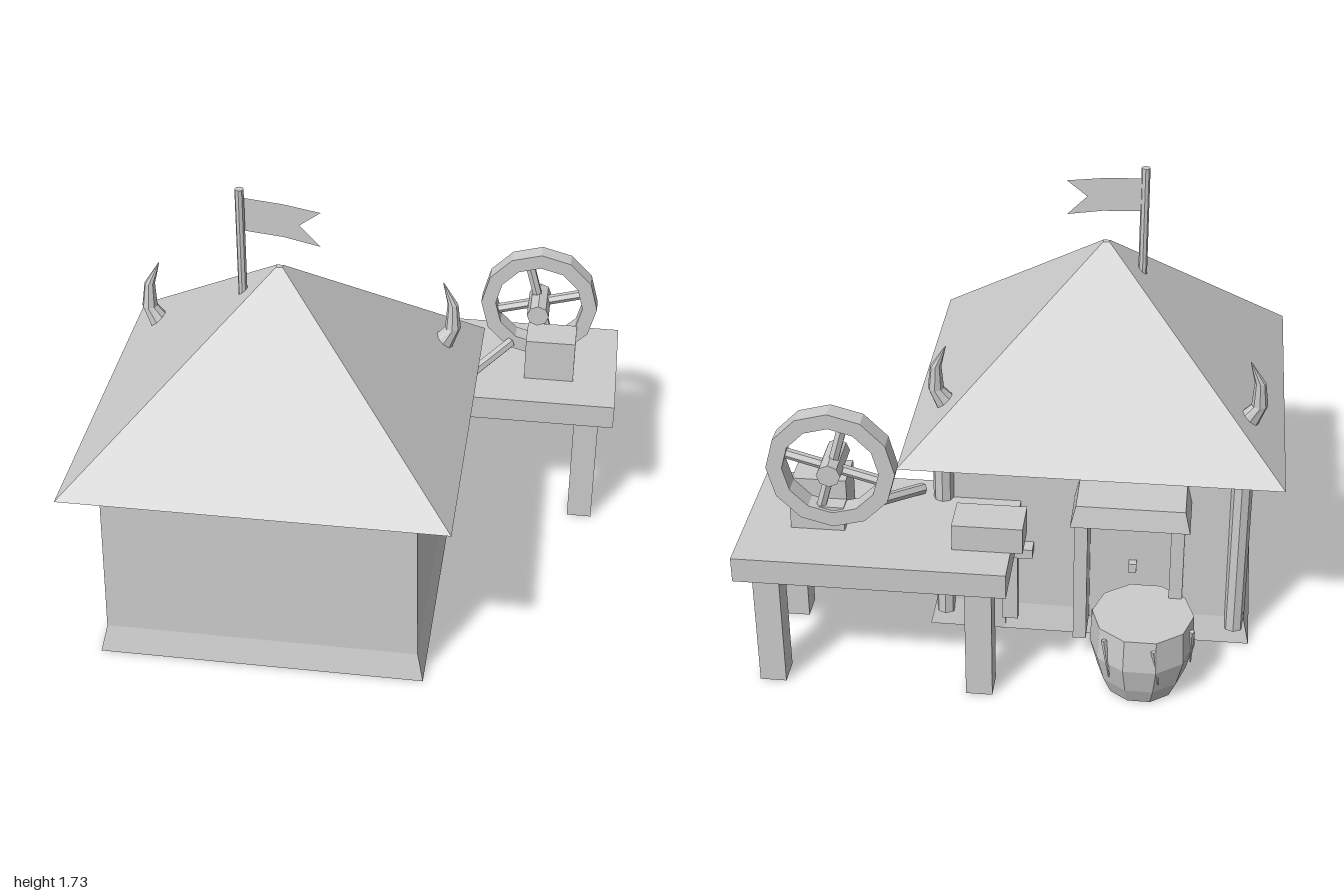
import * as THREE from 'three';

export function createModel() {
  const model = new THREE.Group();
  model.name = 'hutWithWorkbench';
  const grey = new THREE.MeshStandardMaterial({ color: 0xcccccc, flatShading: true, side: THREE.DoubleSide });
  grey.name = 'plain grey';

  const add = (name, geometry, parent = model) => {
    geometry.computeVertexNormals();
    const mesh = new THREE.Mesh(geometry, grey);
    mesh.name = name;
    parent.add(mesh);
  };
  const group = (name) => {
    const g = new THREE.Group();
    g.name = name;
    model.add(g);
    return g;
  };
  // Block between two rectangles [x0, x1, z0, z1], one at y0 and one at y1
  const taper = (y0, r0, y1, r1 = r0) => {
    const g = new THREE.BoxGeometry(1, 1, 1);
    const p = g.attributes.position;
    for (let i = 0; i < p.count; i++) {
      const up = p.getY(i) > 0, r = up ? r1 : r0;
      p.setXYZ(i, p.getX(i) < 0 ? r[0] : r[1], up ? y1 : y0, p.getZ(i) < 0 ? r[2] : r[3]);
    }
    return g;
  };
  // Same block without its bottom face
  const openBelow = (g) => {
    const faces = [...g.index.array];
    faces.splice(18, 6);
    g.setIndex(faces);
    g.clearGroups();
    return g;
  };
  // Straight rod between two points
  const rod = (a, b, radius, sides = 6, endRadius = radius) => {
    const from = new THREE.Vector3(...a), to = new THREE.Vector3(...b);
    const d = to.clone().sub(from);
    const g = new THREE.CylinderGeometry(endRadius, radius, d.length(), sides);
    g.applyQuaternion(new THREE.Quaternion().setFromUnitVectors(new THREE.Vector3(0, 1, 0), d.normalize()));
    const m = from.add(to).multiplyScalar(0.5);
    return g.translate(m.x, m.y, m.z);
  };

  // Hut body
  const foot = [-0.905, 0.348, -0.42, 0.8], waist = [-0.88, 0.324, -0.40, 0.775];
  add('wallSkirt', openBelow(taper(0, foot, 0.11, waist)));
  add('walls', taper(0.11, waist, 0.78, [-0.866, 0.31, -0.39, 0.765]));
  add('roof', taper(0.775, [-1, 0.445, -0.52, 0.885], 1.42, [-0.29, -0.265, 0.18, 0.2]));
  for (const x of [-0.843, 0.287]) add('cornerPost', rod([x, 0.06, -0.39], [x, 0.78, -0.39], 0.04, 8));

  // Curved horns on the roof
  const out = [0.568, 0.615, 0.612, 0.572], high = [0.88, 0.96, 1.06, 1.15], swell = [1, 1.1, 1.4, 1];
  for (const side of [-1, 1]) {
    const g = new THREE.CylinderGeometry(0.002, 0.042, 1, 8, 3);
    const p = g.attributes.position;
    for (let i = 0; i < p.count; i++) {
      const k = Math.round((p.getY(i) + 0.5) * 3);
      const lean = k === 0 ? p.getX(i) * side * 0.5 : 0;
      p.setXYZ(i, -0.278 + side * out[k] + p.getX(i) * swell[k], high[k] - lean,
        -0.205 - 0.008 * k + p.getZ(i) * swell[k]);
    }
    add('horn', g);
  }

  // Flag with a swallow tail
  const flag = group('flag');
  add('flagPole', rod([-0.42, 1.2, 0.19], [-0.42, 1.73, 0.19], 0.017, 8), flag);
  const cloth = new THREE.PlaneGeometry(1, 1, 2, 2);
  const columns = [
    [[-0.41, 1.69], [-0.41, 1.62], [-0.41, 1.555]],
    [[-0.26, 1.68], [-0.26, 1.61], [-0.26, 1.545]],
    [[-0.12, 1.66], [-0.2, 1.6], [-0.122, 1.52]],
  ];
  for (let i = 0; i < 9; i++) {
    const [x, y] = columns[i % 3][Math.floor(i / 3)];
    cloth.attributes.position.setXYZ(i, x, y, 0.21 + 0.07 * x);
  }
  add('flagCloth', cloth, flag);

  // Doorway at the back
  const doorway = group('doorway');
  add('door', taper(0.09, [-0.6, -0.27, -0.43, -0.38], 0.63), doorway);
  for (const x of [-0.64, -0.28]) add('doorJamb', taper(0.1, [x, x + 0.05, -0.585, -0.38], 0.63), doorway);
  add('lintel', taper(0.62, [-0.66, -0.215, -0.605, -0.38], 0.705, [-0.64, -0.235, -0.59, -0.38]), doorway);
  add('doorKnob', taper(0.33, [-0.46, -0.43, -0.46, -0.42], 0.37), doorway);

  // Blade leaning on the back wall
  const blade = group('leaningBlade');
  add('bladeBody', taper(0.06, [0, 0.06, -0.435, -0.39], 0.4), blade);
  add('bladeGuard', taper(0.365, [-0.06, 0.13, -0.46, -0.4], 0.405), blade);
  add('bladeGrip', taper(0.4, [0.01, 0.05, -0.445, -0.4], 0.53), blade);

  // Workbench
  const bench = group('workbench');
  add('benchTop', openBelow(taper(0.485, [-0.01, 1, -0.89, -0.285], 0.585)), bench);
  for (const x of [0.05, 0.84])
    for (const z of [-0.84, -0.42]) add('benchLeg', taper(0, [x, x + 0.1, z, z + 0.105], 0.49), bench);
  add('benchBlock', taper(0.585, [-0.055, 0.207, -0.745, -0.59], 0.69), bench);

  // Grinding wheel with its stand and lever
  const wheel = group('grindingWheel');
  add('wheelStand', taper(0.585, [0.62, 0.823, -0.605, -0.457], 0.765), wheel);
  add('wheelStep', taper(0.585, [0.62, 0.823, -0.665, -0.605], 0.685), wheel);
  const ring = (r) => Array.from({ length: 12 }, (_, i) =>
    new THREE.Vector2(r * Math.cos(i * Math.PI / 6), r * Math.sin(i * Math.PI / 6)));
  const rim = new THREE.Shape(ring(0.24));
  rim.holes.push(new THREE.Path(ring(0.18)));
  add('wheelRim', new THREE.ExtrudeGeometry(rim, { depth: 0.075, bevelEnabled: false })
    .translate(0.66, 0.85, -0.678), wheel);
  add('wheelHub', rod([0.66, 0.85, -0.712], [0.66, 0.85, -0.522], 0.045, 8), wheel);
  for (let i = 0; i < 4; i++) {
    const a = 0.27 + i * Math.PI / 2;
    add('wheelSpoke', rod([0.66, 0.85, -0.642],
      [0.66 + 0.19 * Math.cos(a), 0.85 + 0.19 * Math.sin(a), -0.642], 0.02), wheel);
  }
  add('wheelLever', rod([0.37, 0.605, -0.375], [0.55, 0.665, -0.6], 0.022), wheel);

  // Barrel, open below, with slanted slivers on its staves
  const barrel = group('barrel');
  barrel.position.set(-0.5, 0, -0.69);
  const profile = [[0.135, 0], [0.167, 0.07], [0.197, 0.18], [0.19, 0.313], [0, 0.313]];
  add('barrelBody', new THREE.LatheGeometry(profile.map(([x, y]) => new THREE.Vector2(x, y)), 10)
    .rotateY(Math.PI / 10), barrel);
  for (let i = 0; i < 6; i++) {
    const a = i * Math.PI / 3 + 0.26, b = a - 0.13;
    add('barrelSliver', rod([0.186 * Math.cos(b), 0.12, 0.186 * Math.sin(b)],
      [0.192 * Math.cos(a), 0.28, 0.192 * Math.sin(a)], 0.003, 4, 0.011), barrel);
  }
  return model;
}
